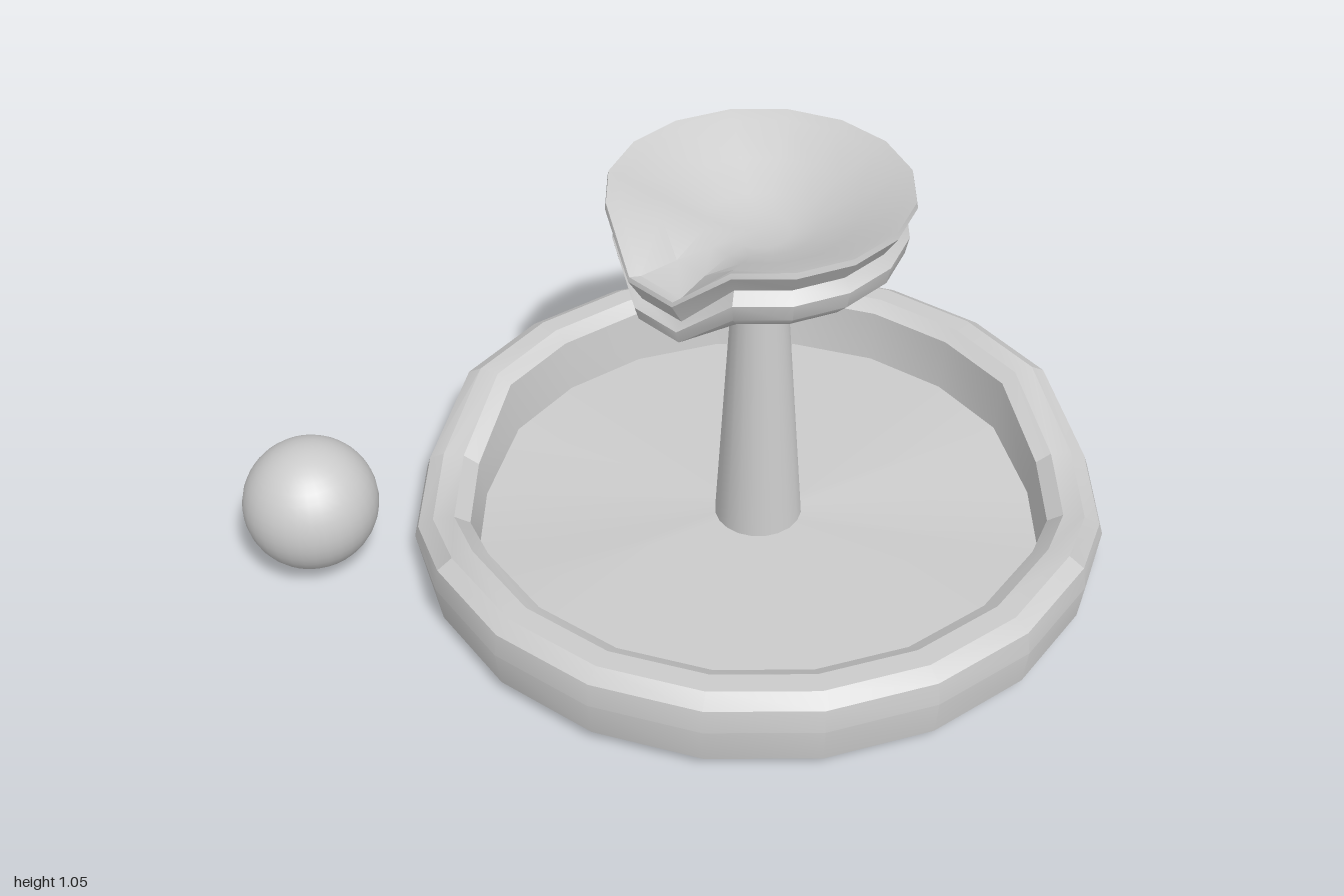
import * as THREE from 'three';
import { toCreasedNormals } from 'three/addons/utils/BufferGeometryUtils.js';

const material = new THREE.MeshStandardMaterial({ color: 0xcccccc, side: THREE.DoubleSide });
const AXIS_Z = -0.095;

// Turned part: rows are [radius, height, drop]; the drop lowers the chosen spokes to form spouts
function turned(name, rows, sides, phase, spouts, crease) {
  const points = rows.map(([r, y]) => new THREE.Vector2(r, y));
  const geometry = new THREE.LatheGeometry(points, sides, phase);
  const position = geometry.attributes.position;
  for (let i = 0; i <= sides; i++) {
    if (!spouts.includes(i % sides)) continue;
    rows.forEach(([, , drop = 0], j) => {
      const k = i * rows.length + j;
      position.setY(k, position.getY(k) - drop);
    });
  }
  geometry.deleteAttribute('uv');
  geometry.deleteAttribute('normal');
  const mesh = new THREE.Mesh(toCreasedNormals(geometry, crease), material);
  mesh.name = name;
  mesh.position.z = AXIS_Z;
  return mesh;
}

export function createModel() {
  const model = new THREE.Group();
  model.name = 'fountain';

  // Wide basin, hollow beneath, with two opposite low spots in the rim
  model.add(turned('basin', [
    [0.892, 0.04, 0.028],
    [0.905, 0.14, 0.06],
    [0.895, 0.2, 0.09],
    [0.855, 0.225, 0.095],
    [0.8, 0.225, 0.095],
    [0.76, 0.2, 0.095],
    [0.745, 0.05, 0.048],
    [0.105, 0.05],
  ], 20, 0, [7, 8, 17, 18], 0.4));

  // Tapered hollow column
  model.add(turned('column', [
    [0.115, 0.05],
    [0.063, 0.86],
  ], 20, 0, [], 0.5));

  // Upper bowl with a pouring lip at the front
  model.add(turned('upperBowl', [
    [0.06, 0.82],
    [0.2, 0.842, 0.02],
    [0.315, 0.875, 0.075],
    [0.35, 0.91, 0.1],
    [0.36, 0.955, 0.11],
    [0.338, 0.985, 0.122],
    [0.375, 1.04, 0.115],
    [0.372, 1.055, 0.118],
    [0.34, 1.043, 0.115],
    [0.24, 0.995, 0.06],
    [0.14, 0.95, 0.015],
    [0.075, 0.93],
    [0, 0.93],
  ], 16, Math.PI / 16, [0, 15], 0.6));

  // Loose ball beside the basin
  const ball = new THREE.Mesh(new THREE.SphereGeometry(0.172, 32, 20), material);
  ball.name = 'ball';
  ball.position.set(-0.7, 0.21, 0.826);
  model.add(ball);

  return model;
}
